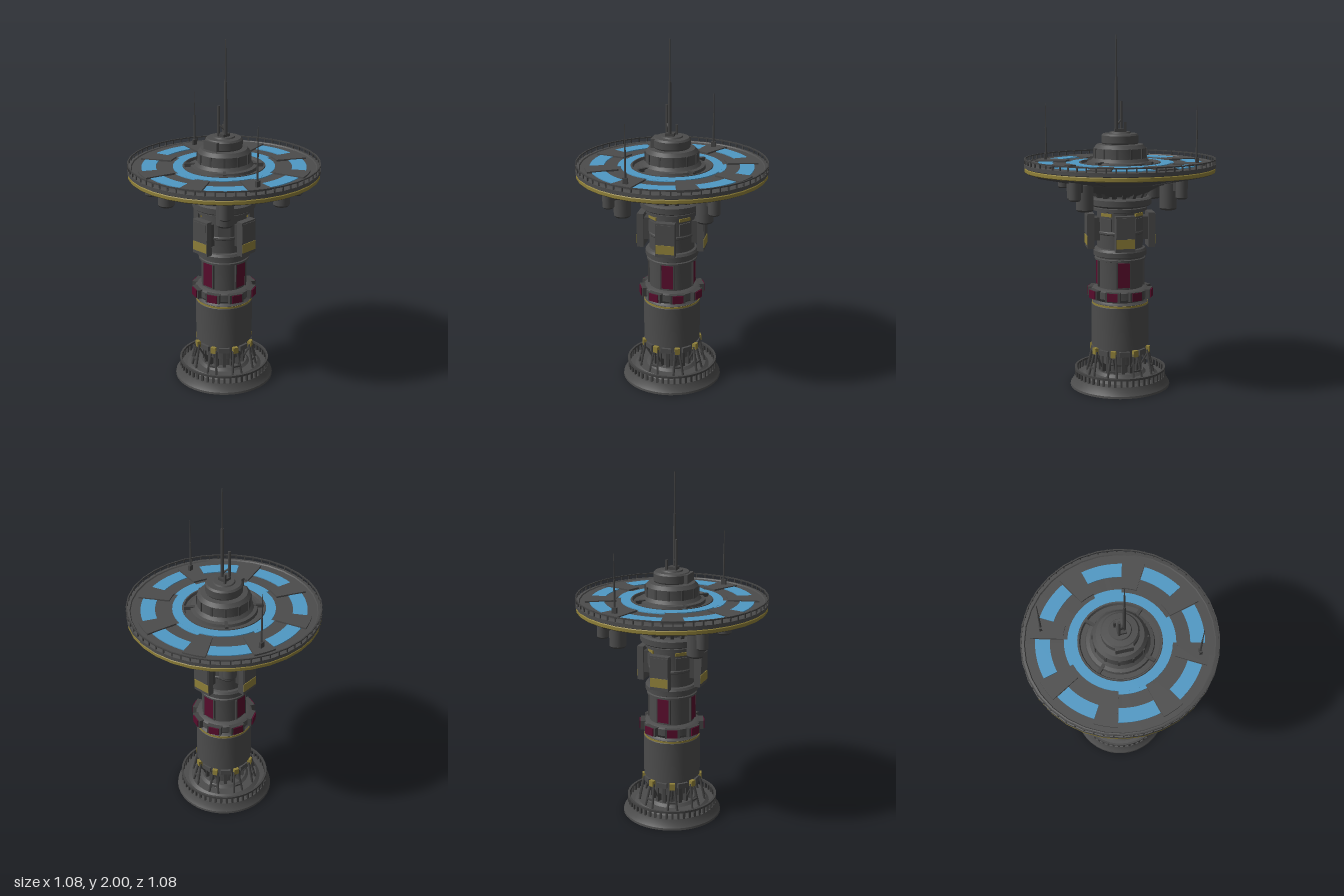
import * as THREE from 'three';
import { toCreasedNormals } from 'three/addons/utils/BufferGeometryUtils.js';

const mat = (name, color) => {
  const m = new THREE.MeshStandardMaterial({ color });
  m.name = name;
  return m;
};

export function createModel() {
  const hull = mat('hull grey', 0x4c4c4c);
  const trim = mat('trim dark grey', 0x434343);
  const yellow = mat('marking yellow', 0x8f8039);
  const red = mat('panel red', 0x580c2c);
  const glass = mat('window blue', 0x4f98c4);
  const model = new THREE.Group();
  model.name = 'tower';

  const add = (name, geo, material, parent = model) => {
    const m = new THREE.Mesh(geo, material);
    m.name = name;
    parent.add(m);
    return m;
  };
  // Solid of revolution from [radius, height] pairs, bottom to top
  const lathe = (name, pts, material, seg = 32) => add(name,
    toCreasedNormals(new THREE.LatheGeometry(pts.map(p => new THREE.Vector2(...p)), seg), 0.45), material);
  const box = (w, h, d, x = 0, y = 0, z = 0) => new THREE.BoxGeometry(w, h, d).translate(x, y, z);
  const cyl = (rt, rb, y0, y1, x = 0, z = 0, seg = 12) =>
    new THREE.CylinderGeometry(rt, rb, y1 - y0, seg).translate(x, (y0 + y1) / 2, z);
  // Straight rod between two points
  const rod = (a, b, r) => new THREE.TubeGeometry(
    new THREE.LineCurve3(new THREE.Vector3(...a), new THREE.Vector3(...b)), 1, r, 6);
  // Repeat parts, built facing +z, around the axis
  const around = (name, n, offsetDeg, build) => {
    for (let i = 0; i < n; i++) {
      const g = new THREE.Group();
      g.name = name;
      g.rotation.y = THREE.MathUtils.degToRad(offsetDeg) + i * Math.PI * 2 / n;
      build(g, i);
      model.add(g);
    }
  };
  // Flat ring sector facing up, centred on +z
  const sector = (r0, r1, halfDeg, y, h) => {
    const a = THREE.MathUtils.degToRad(halfDeg), c = -Math.PI / 2;
    const s = new THREE.Shape();
    s.absarc(0, 0, r1, c - a, c + a, false);
    s.absarc(0, 0, r0, c + a, c - a, true);
    return new THREE.ExtrudeGeometry(s, { depth: h, bevelEnabled: false, curveSegments: 8 })
      .rotateX(-Math.PI / 2).translate(0, y, 0);
  };
  // Railing: posts and a top rail
  const railing = (name, r, y0, y1, n, t, seg) => {
    lathe(name + 'Rail', [[r - t, y1 - t], [r, y1 - t], [r, y1], [r - t, y1], [r - t, y1 - t]], trim, seg);
    around(name + 'Post', n, 0, g =>
      add(name + 'PostBar', box(t, y1 - y0, t, 0, (y0 + y1) / 2, r - t * 0.6), trim, g));
  };

  // Foot
  lathe('base', [[0, 0], [0.288, 0], [0.286, 0.012], [0.272, 0.03], [0.262, 0.058], [0.22, 0.06],
    [0.2, 0.075], [0.15, 0.075], [0.135, 0.09], [0, 0.09]], hull, 40);
  railing('base', 0.263, 0.055, 0.105, 48, 0.012, 40);
  lathe('lowerCore', [[0.1, 0.07], [0.1, 0.13], [0.118, 0.14], [0.118, 0.19], [0.13, 0.2]], hull);
  around('coreRib', 16, 0, g => add('coreRibBar', box(0.018, 0.11, 0.03, 0, 0.145, 0.11), trim, g));
  around('footBrace', 8, 22.5, g => {
    for (const s of [-1, 1]) {
      add('braceLeg', rod([s * 0.03, 0.06, 0.195], [s * 0.012, 0.215, 0.163], 0.007), trim, g);
    }
    add('braceTie', box(0.05, 0.01, 0.01, 0, 0.12, 0.183), trim, g);
    add('braceStay', rod([0, 0.19, 0.16], [0, 0.1, 0.11], 0.006), trim, g);
    add('braceCap', box(0.03, 0.036, 0.022, 0, 0.217, 0.164), yellow, g);
  });
  around('collarBlock', 8, 0, g => add('collarBlockBody', box(0.06, 0.03, 0.03, 0, 0.215, 0.148), hull, g));

  // Main drum
  lathe('mainDrum', [[0.12, 0.195], [0.15, 0.2], [0.15, 0.238], [0.164, 0.242], [0.164, 0.482],
    [0.16, 0.486], [0.16, 0.497], [0.152, 0.502], [0.145, 0.51], [0.12, 0.515]], hull);
  lathe('drumStripe', [[0.158, 0.484], [0.1625, 0.484], [0.1625, 0.495], [0.158, 0.495]], yellow);

  // Ring with red blocks
  lathe('blockRing', [[0.12, 0.505], [0.145, 0.51], [0.165, 0.53], [0.165, 0.57], [0.15, 0.58], [0.12, 0.585]], hull);
  around('ringBlock', 8, 22.5, g => {
    add('ringBlockFrame', box(0.085, 0.052, 0.04, 0, 0.55, 0.162), trim, g);
    add('ringBlockPanel', box(0.06, 0.046, 0.03, 0, 0.55, 0.173), red, g);
  });

  // Middle column with red panels
  lathe('middleColumn', [[0.13, 0.575], [0.13, 0.738], [0.145, 0.742], [0.145, 0.752], [0.138, 0.756],
    [0.138, 0.762], [0.152, 0.768], [0.152, 0.795], [0.143, 0.808], [0.12, 0.815]], hull);
  around('columnPanel', 4, 0, g => {
    add('columnPanelFace', box(0.068, 0.14, 0.012, 0, 0.665, 0.127), red, g);
    for (const s of [-1, 1]) add('columnPanelEdge', box(0.008, 0.15, 0.02, s * 0.038, 0.665, 0.124), trim, g);
  });

  // Upper column with four equipment modules
  lathe('upperColumn', [[0.13, 0.805], [0.13, 0.89], [0.134, 0.895], [0.134, 0.905], [0.13, 0.91],
    [0.13, 1.02], [0.153, 1.025], [0.153, 1.042], [0.13, 1.048]], hull);
  around('module', 4, 0, g => {
    add('moduleMount', box(0.085, 0.13, 0.07, 0, 0.92, 0.138), trim, g);
    add('moduleBody', box(0.11, 0.2, 0.038, 0, 0.91, 0.174), hull, g);
    add('moduleStripe', box(0.104, 0.052, 0.008, 0, 0.856, 0.1925), yellow, g);
    add('moduleCover', box(0.1, 0.11, 0.008, 0, 0.945, 0.1925), hull, g);
  });
  around('columnMarking', 4, 45, g => {
    add('columnMarkingPlate', box(0.07, 0.018, 0.008, 0, 1.006, 0.13), yellow, g);
    add('columnHatch', box(0.07, 0.07, 0.02, 0, 0.95, 0.125), hull, g);
  });

  // Neck below the dish
  lathe('neck', [[0.12, 1.04], [0.165, 1.05], [0.18, 1.06], [0.18, 1.092], [0.165, 1.1], [0.115, 1.1],
    [0.115, 1.13]], hull);
  around('neckRib', 16, 0, g => {
    const m = add('neckRibBar', box(0.02, 0.07, 0.03), trim, g);
    m.position.set(0, 1.12, 0.142);
    m.rotation.x = 0.5;
  });

  // Dish
  lathe('dishUnderside', [[0.1, 1.105], [0.14, 1.115], [0.24, 1.168], [0.33, 1.19], [0.335, 1.196],
    [0.525, 1.237], [0.534, 1.242]], hull);
  lathe('dishStripe', [[0.534, 1.242], [0.538, 1.246], [0.538, 1.262], [0.534, 1.266]], yellow);
  lathe('dishDeck', [[0.534, 1.266], [0.541, 1.27], [0.541, 1.29], [0.52, 1.294], [0.515, 1.288], [0.23, 1.288],
    [0.229, 1.296], [0.222, 1.296], [0.215, 1.282], [0.1, 1.282]], hull);
  railing('dish', 0.54, 1.288, 1.318, 64, 0.007, 32);
  around('undersideRib', 8, 22.5, g =>
    add('undersideRibBar', rod([0, 1.197, 0.335], [0, 1.236, 0.52], 0.006), trim, g));

  // Deck windows and raised walkways
  lathe('innerWindow', [[0.286, 1.288], [0.286, 1.293], [0.232, 1.293]], glass, 48);
  around('innerWindowBay', 4, 0, g => add('innerWindowBayPane', sector(0.28, 0.304, 15, 1.288, 0.0045), glass, g));
  around('deckWindow', 8, 0, g => add('deckWindowPane', sector(0.38, 0.46, 14.5, 1.287, 0.006), glass, g));
  around('deckWalkway', 8, 22.5, g => add('deckWalkwayPlate', sector(0.31, 0.487, 7.5, 1.286, 0.012), hull, g));

  // Pods hanging under the dish
  around('pod', 4, 45, g => {
    add('largePod', cyl(0.048, 0.048, 1.062, 1.2, 0, 0.325, 16), hull, g);
    add('largePodCap', cyl(0.048, 0.04, 1.052, 1.062, 0, 0.325, 16), trim, g);
    add('smallPod', cyl(0.033, 0.033, 1.125, 1.22, 0, 0.412, 14), hull, g);
    add('smallPodCap', cyl(0.033, 0.026, 1.117, 1.125, 0, 0.412, 14), trim, g);
    add('podBridge', box(0.04, 0.05, 0.1, 0, 1.185, 0.36), trim, g);
  });

  // Control tower on top
  lathe('controlTower', [[0.19, 1.28], [0.185, 1.298], [0.165, 1.302], [0.15, 1.32], [0.148, 1.375], [0.13, 1.395],
    [0.1, 1.398], [0.104, 1.405], [0.104, 1.445], [0.095, 1.455], [0.062, 1.457], [0.058, 1.464], [0, 1.464]], hull);
  around('towerRib', 12, 15, g => add('towerRibBar', box(0.012, 0.055, 0.01, 0, 1.347, 0.148), trim, g));
  around('towerBrace', 4, 45, g => add('towerBraceBar', box(0.018, 0.02, 0.06, 0, 1.296, 0.19), trim, g));
  add('towerCabin', box(0.075, 0.05, 0.1, -0.073, 1.425, 0), hull);

  // Antennas
  add('mainMastLower', cyl(0.008, 0.011, 1.46, 1.77, -0.008, 0.02, 8), trim);
  add('mainMastUpper', cyl(0.003, 0.005, 1.77, 2, -0.008, 0.02, 6), trim);
  add('sideMast', cyl(0.008, 0.008, 1.46, 1.635, -0.03, -0.012, 8), trim);
  add('sideMastArm', rod([-0.03, 1.53, -0.012], [-0.008, 1.5, 0.02], 0.006), trim);
  add('shortMast', box(0.012, 0.06, 0.012, 0.022, 1.49, -0.025), trim);
  add('mastFoot', box(0.05, 0.02, 0.05, -0.008, 1.47, 0.005), trim);
  for (const s of [-1, 1]) {
    add('rimAntennaFoot', box(0.028, 0.04, 0.016, s * 0.165, 1.31, -s * 0.405), trim);
    add('rimAntennaBase', cyl(0.005, 0.006, 1.29, 1.48, s * 0.165, -s * 0.403, 6), trim);
    add('rimAntennaTip', cyl(0.002, 0.0035, 1.48, 1.62, s * 0.165, -s * 0.403, 6), trim);
  }
  return model;
}
